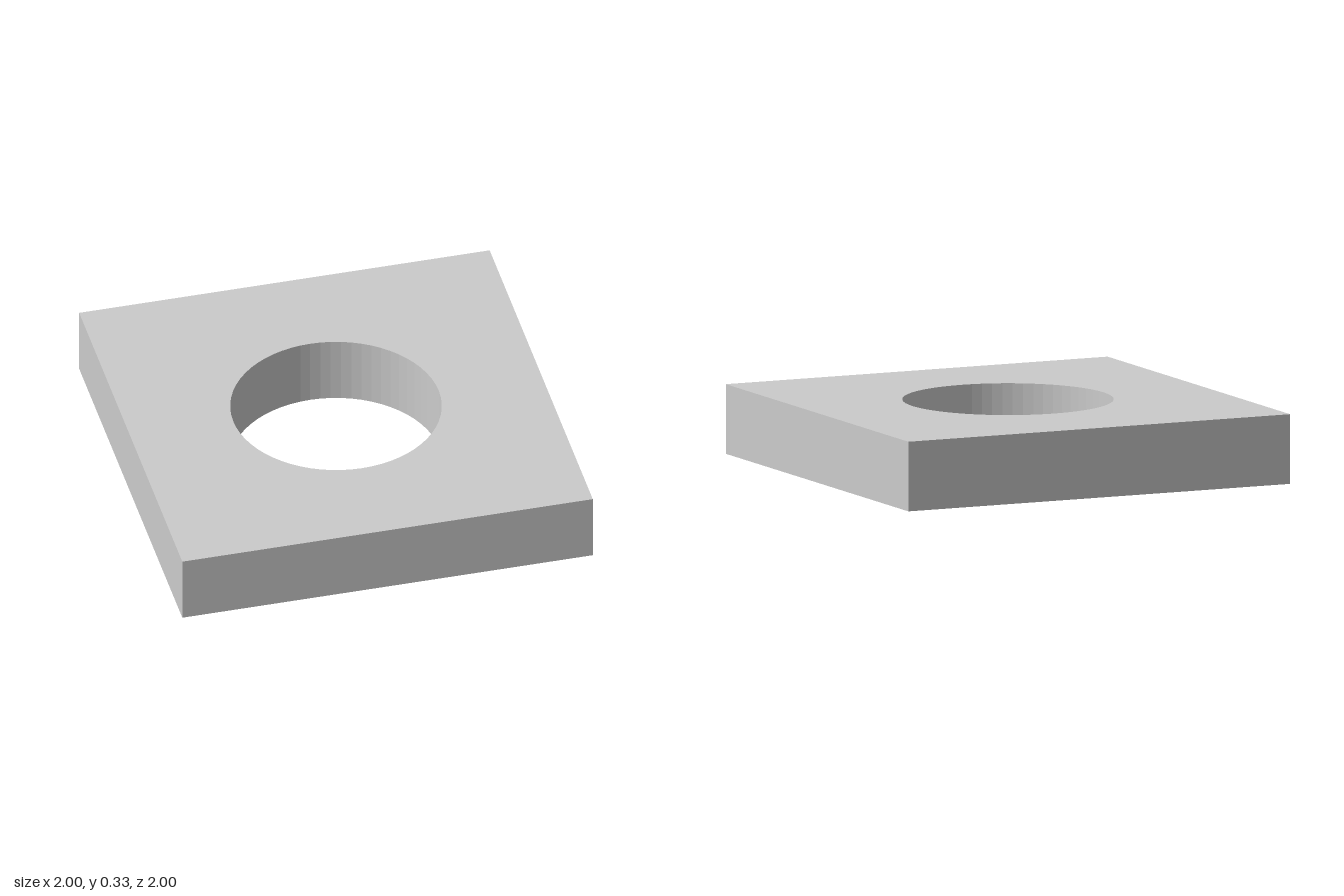
import * as THREE from 'three';

const SIZE = 2, HEIGHT = 0.333, HOLE_RADIUS = 0.5;

export function createModel() {
  const group = new THREE.Group();
  group.name = 'squareWasher';

  // Square outline with a round hole through the middle
  const h = SIZE / 2;
  const outline = new THREE.Shape([
    new THREE.Vector2(-h, -h),
    new THREE.Vector2(h, -h),
    new THREE.Vector2(h, h),
    new THREE.Vector2(-h, h),
  ]);
  outline.holes.push(new THREE.Path().absarc(0, 0, HOLE_RADIUS, 0, Math.PI * 2, true));

  // Extruded upwards from the ground; an arc gets two sides per curve segment
  const geometry = new THREE.ExtrudeGeometry(outline, {
    depth: HEIGHT, bevelEnabled: false, curveSegments: 32,
  });
  geometry.rotateX(-Math.PI / 2);

  const plate = new THREE.Mesh(
    geometry,
    new THREE.MeshStandardMaterial({ color: 0xcccccc, flatShading: true }),
  );
  plate.name = 'plate';
  group.add(plate);
  return group;
}
